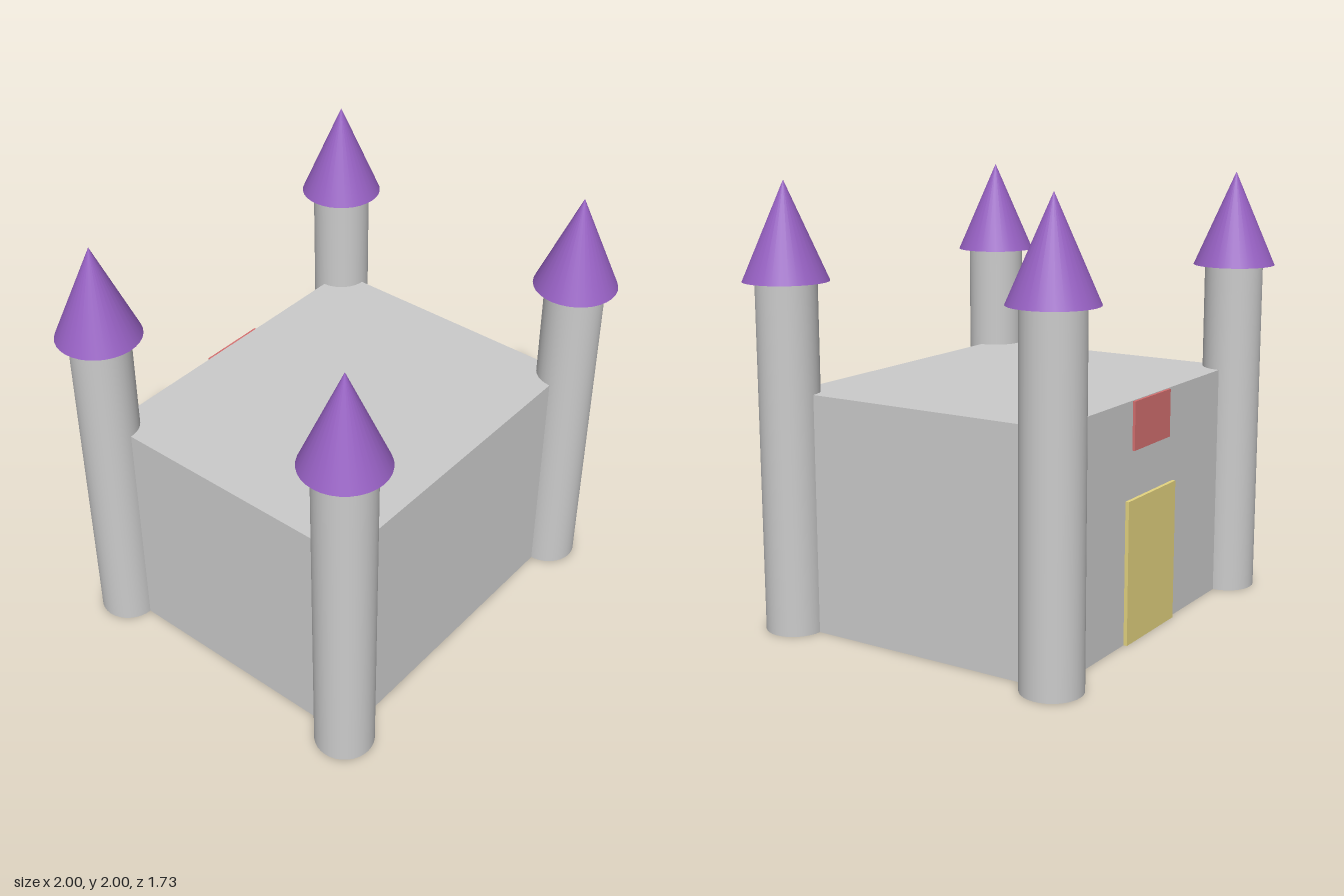
import * as THREE from 'three';

const U = 2 / 7.4; // one building unit
const W = 6 * U, H = 4 * U, D = 5 * U; // keep size
const TOWER_H = 5.8 * U, ROOF_H = 1.6 * U;

const stone = new THREE.MeshStandardMaterial({ color: 0xcccccc });
const purple = new THREE.MeshStandardMaterial({ color: 0x9660c2 });
const gold = new THREE.MeshStandardMaterial({ color: 0xe4d480 });
const red = new THREE.MeshStandardMaterial({ color: 0xd67070 });

function part(name, geometry, material, x, y, z) {
  const mesh = new THREE.Mesh(geometry, material);
  mesh.name = name;
  mesh.position.set(x, y, z);
  return mesh;
}

export function createModel() {
  const castle = new THREE.Group();
  castle.name = 'castle';

  // Main block
  castle.add(part('keep', new THREE.BoxGeometry(W, H, D), stone, 0, H / 2, 0));

  // Round corner towers with cone roofs
  const shaft = new THREE.CylinderGeometry(0.5 * U, 0.5 * U, TOWER_H, 32);
  const roof = new THREE.ConeGeometry(0.7 * U, ROOF_H, 32);
  for (const [sx, side] of [[1, 'Left'], [-1, 'Right']]) {
    for (const [sz, end] of [[1, 'front'], [-1, 'back']]) {
      const tower = new THREE.Group();
      tower.name = `${end}${side}Tower`;
      tower.position.set(sx * W / 2, 0, sz * D / 2);
      tower.add(part('towerShaft', shaft, stone, 0, TOWER_H / 2, 0));
      tower.add(part('towerRoof', roof, purple, 0, TOWER_H + ROOF_H / 2, 0));
      castle.add(tower);
    }
  }

  // Door and banner, thin panels half sunk into the back wall
  const doorH = 2.4 * U, bannerH = 0.8 * U;
  castle.add(part('door', new THREE.BoxGeometry(1.6 * U, doorH, 0.034), gold, 0, doorH / 2, -D / 2));
  castle.add(part('banner', new THREE.BoxGeometry(1.2 * U, bannerH, 0.024), red, 0, H - bannerH / 2 - 0.003, -D / 2));

  return castle;
}
